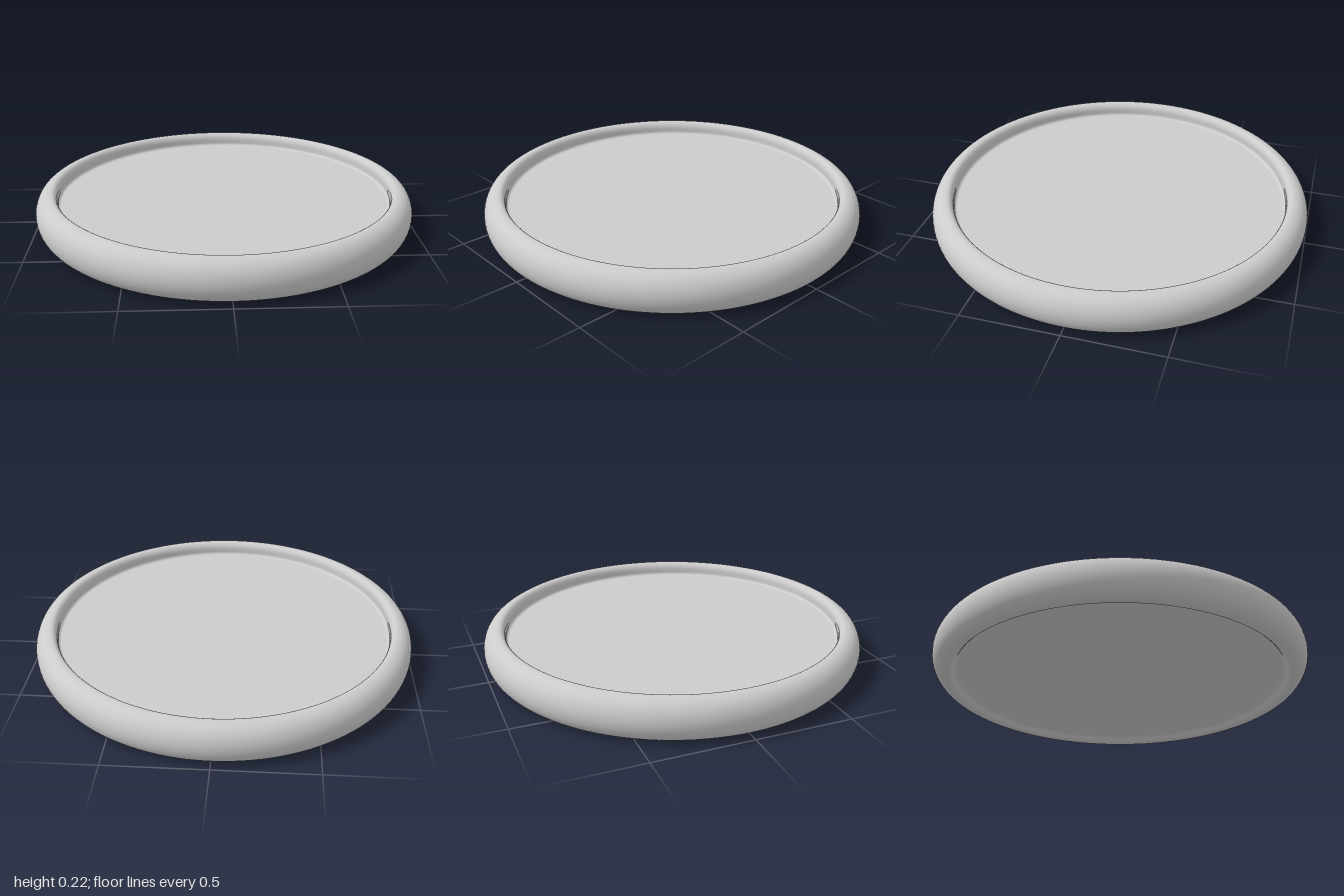
import * as THREE from 'three';

// Part of an ellipse as profile points, angles in degrees
function arc(cx, cy, rx, ry, from, to, steps) {
  const points = [];
  for (let i = 0; i <= steps; i++) {
    const a = THREE.MathUtils.degToRad(from + (to - from) * i / steps);
    points.push(new THREE.Vector2(cx + rx * Math.cos(a), cy + ry * Math.sin(a)));
  }
  return points;
}

export function createModel() {
  const group = new THREE.Group();
  group.name = 'dish';
  const material = new THREE.MeshStandardMaterial({ color: 0xcccccc });

  const height = 0.215, mid = height / 2;
  const crest = 0.915, wall = 0.884, fillet = 0.016;
  const floorTop = 0.142, floorBottom = 0.038;

  // Soft S-shaped slope of the underside recess
  const underside = new THREE.SplineCurve([
    [0.83, floorBottom], [0.856, 0.036], [0.876, 0.028],
    [0.888, 0.015], [0.9, 0.005], [crest, 0],
  ].map(([r, y]) => new THREE.Vector2(r, y)));

  // Profile from the underside centre, around the rim, to the top centre
  const profile = [
    new THREE.Vector2(0, floorBottom),
    new THREE.Vector2(0.81, floorBottom),
    ...underside.getPoints(16),
    // rounded outer rim
    ...arc(crest, mid, 1 - crest, mid, -90, 90, 28).slice(1),
    // inner lip, upright wall and tight fillet of the top recess
    ...arc(crest, height - 0.04, crest - wall, 0.04, 90, 180, 8).slice(1),
    ...arc(wall - fillet, floorTop + fillet, fillet, fillet, 0, -90, 6),
    new THREE.Vector2(wall - fillet - 0.02, floorTop),
    new THREE.Vector2(0, floorTop),
  ];

  const dish = new THREE.Mesh(new THREE.LatheGeometry(profile, 128), material);
  dish.name = 'rimmedDisc';
  group.add(dish);
  return group;
}
